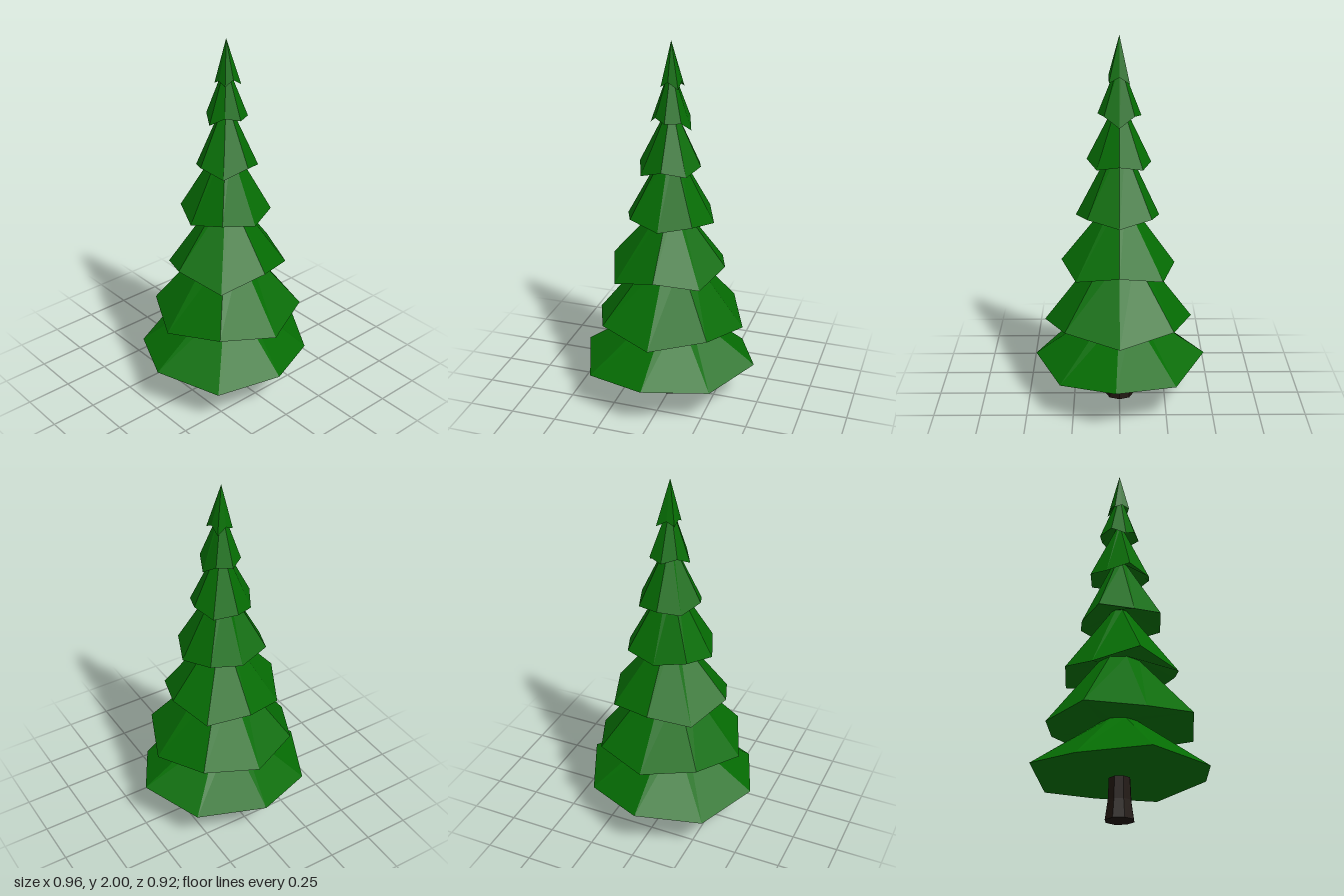
import * as THREE from 'three';

const SIDES = 8;

// Eight points around the trunk axis, starting at +x and turning towards +z.
function ring(radiusAt, heightAt, twistAt = () => 0) {
  return Array.from({ length: SIDES }, (_, i) => {
    const a = THREE.MathUtils.degToRad((i * 360) / SIDES + twistAt(i));
    return new THREE.Vector3(Math.cos(a) * radiusAt(i), heightAt(i), Math.sin(a) * radiusAt(i));
  });
}

const evenRing = ([radius, height]) => ring(() => radius, () => height);

// Facetted skin through a stack of rings, lowest first.
function loft(rings) {
  const points = [];
  for (let r = 0; r < rings.length - 1; r++) {
    const low = rings[r], up = rings[r + 1];
    for (let i = 0; i < SIDES; i++) {
      const j = (i + 1) % SIDES;
      points.push(low[i], up[i], low[j], low[j], up[i], up[j]);
    }
  }
  const geometry = new THREE.BufferGeometry().setFromPoints(points);
  geometry.computeVertexNormals();
  return geometry;
}

// Each tier: uneven rim radii and heights, the neck [radius, height] hidden
// inside the next tier, and for the lowest a small turn of each corner in degrees.
const TIERS = [
  {
    rim: [0.48, 0.443, 0.46, 0.49, 0.485, 0.47, 0.465, 0.447],
    y: [0.248, 0.21, 0.24, 0.212, 0.235, 0.21, 0.25, 0.21],
    twist: [2.4, 0.3, 2.5, 0.4, 0, -0.4, 0, 3.4],
    neck: [0.1, 0.505],
  },
  {
    rim: [0.405, 0.405, 0.405, 0.41, 0.41, 0.39, 0.39, 0.4],
    y: [0.457, 0.5, 0.455, 0.5, 0.455, 0.5, 0.475, 0.5],
    neck: [0.115, 0.835],
  },
  {
    rim: [0.3, 0.32, 0.31, 0.335, 0.325, 0.31, 0.295, 0.32],
    y: [0.805, 0.76, 0.803, 0.735, 0.805, 0.735, 0.785, 0.76],
    neck: [0.045, 1.135],
  },
  {
    rim: [0.235, 0.235, 0.23, 0.24, 0.24, 0.24, 0.21, 0.235],
    y: [1.05, 1.08, 1.055, 1.085, 1.05, 1.085, 1.055, 1.08],
    neck: [0.04, 1.42],
  },
  {
    rim: [0.16, 0.165, 0.17, 0.175, 0.17, 0.155, 0.165, 0.17],
    y: [1.355, 1.33, 1.36, 1.315, 1.355, 1.32, 1.345, 1.33],
    neck: [0.015, 1.66],
  },
  {
    rim: [0.107, 0.11, 0.112, 0.09, 0.11, 0.1, 0.113, 0.11],
    y: [1.545, 1.6, 1.6, 1.613, 1.57, 1.61, 1.59, 1.6],
    neck: [0.015, 1.84],
  },
  {
    rim: [0.055, 0.075, 0.055, 0.06, 0.045, 0.058, 0.045, 0.075],
    y: [1.795, 1.765, 1.8, 1.77, 1.79, 1.77, 1.79, 1.76],
    neck: [0, 2],
  },
];

export function createModel() {
  const tree = new THREE.Group();
  tree.name = 'pineTree';
  const needles = new THREE.MeshStandardMaterial({ color: 0x056c03, flatShading: true });
  const bark = new THREE.MeshStandardMaterial({ color: 0x1e140e, flatShading: true });

  // Branch tiers, each from the neck below, out to the rim and in to its own neck
  let below = [0, 0.238];
  TIERS.forEach(({ rim, y, neck, twist }, t) => {
    const rimRing = ring((i) => rim[i], (i) => y[i], twist && ((i) => twist[i]));
    const tier = new THREE.Mesh(loft([evenRing(below), rimRing, evenRing(neck)]), needles);
    tier.name = `branchTier${t + 1}`;
    tree.add(tier);
    below = neck;
  });

  // Trunk flaring towards the ground, closed at both ends
  const trunkProfile = [[0, 0], [0.077, 0], [0.062, 0.1], [0.057, 0.215], [0, 0.215]];
  const trunk = new THREE.Mesh(loft(trunkProfile.map(evenRing)), bark);
  trunk.name = 'trunk';
  tree.add(trunk);

  return tree;
}
